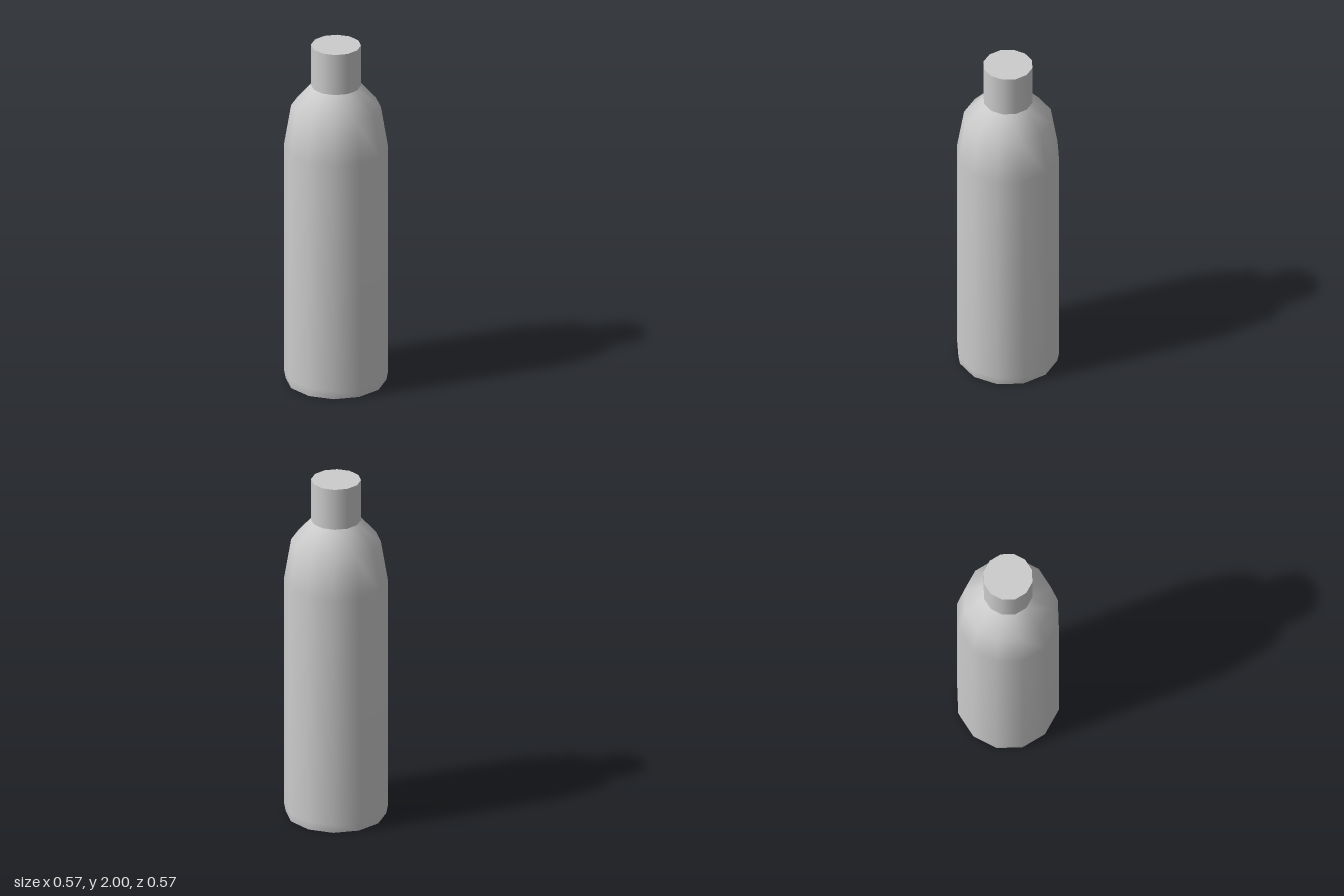
import * as THREE from 'three';

const SIDES = 12;

// Twelve-sided turned part from [radius, height] pairs, listed bottom to top
function turned(name, profile, material) {
  const points = profile.map(([r, y]) => new THREE.Vector2(r, y));
  const mesh = new THREE.Mesh(new THREE.LatheGeometry(points, SIDES), material);
  mesh.name = name;
  return mesh;
}

export function createModel() {
  const group = new THREE.Group();
  group.name = 'bottle';

  const grey = new THREE.MeshStandardMaterial({ color: 0xcccccc, side: THREE.DoubleSide });
  grey.name = 'light grey';

  // Hollow body, open underneath, with a slight taper at the foot and a sloping shoulder
  group.add(turned('body', [
    [0.276, 0], [0.285, 0.05], [0.285, 1.4], [0.246, 1.635], [0.137, 1.76],
  ], grey));

  // Straight neck
  group.add(turned('neck', [[0.137, 1.76], [0.137, 2]], grey));

  // Flat lid closing the neck
  const lid = new THREE.Mesh(new THREE.CircleGeometry(0.137, SIDES), grey);
  lid.name = 'lid';
  lid.rotation.x = -Math.PI / 2;
  lid.position.y = 2;
  group.add(lid);

  return group;
}
